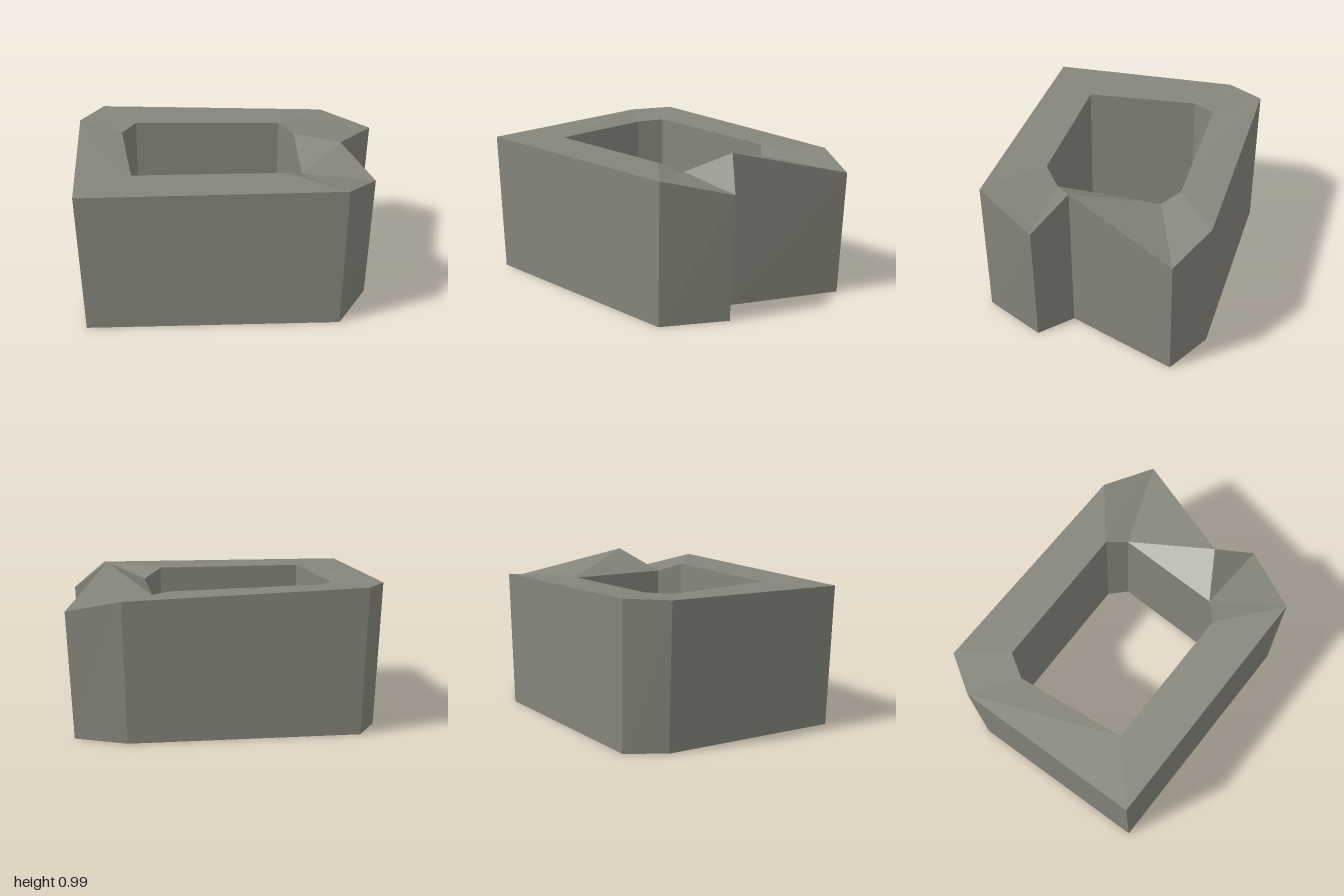
import * as THREE from 'three';

// Rim corners [x, y, z], clockwise from above, starting at the back right
const OUTER = [
  [-0.85, 0.93, -0.73], [0.67, 0.88, -0.73], [1.0, 0.8, -0.57], [0.7, 0.99, 0.15],
  [0.91, 0.8, 0.33], [0.69, 0.91, 0.73], [-0.97, 0.9, 0.73], [-1.0, 0.92, -0.49],
];
const INNER = [
  [-0.62, 0.91, -0.45], [0.35, 0.89, -0.46], [0.45, 0.85, -0.36], [0.44, 0.85, 0.31],
  [0.32, 0.905, 0.42], [-0.63, 0.905, 0.42], [-0.71, 0.9, -0.3],
];
// Order in which the rim advances along the outer (O) or inner (I) loop
const RIM_STEPS = 'IOOIOIOOIOIOIOI';

function meshFrom(name, triangles, material) {
  const geometry = new THREE.BufferGeometry();
  geometry.setAttribute('position', new THREE.Float32BufferAttribute(triangles.flat(2), 3));
  geometry.computeVertexNormals();
  const mesh = new THREE.Mesh(geometry, material);
  mesh.name = name;
  return mesh;
}

// Faces between a top loop and a bottom loop
function wall(top, bottom, inward) {
  const triangles = [];
  top.forEach((p, i) => {
    const j = (i + 1) % top.length;
    const faces = [[bottom[j], bottom[i], p], [bottom[j], p, top[j]]];
    faces.forEach((t) => triangles.push(inward ? t.reverse() : t));
  });
  return triangles;
}

// Band of triangles between the outer and inner loop
function ring(outer, inner, down) {
  const triangles = [];
  let o = 0;
  let i = 0;
  for (const step of RIM_STEPS) {
    const a = outer[o % outer.length];
    const b = inner[i % inner.length];
    const t = step === 'O'
      ? [outer[++o % outer.length], a, b]
      : [a, b, inner[++i % inner.length]];
    triangles.push(down ? t.reverse() : t);
  }
  return triangles;
}

export function createModel() {
  const group = new THREE.Group();
  group.name = 'stoneRing';
  const stone = new THREE.MeshStandardMaterial({ color: 0x86857b, flatShading: true });
  stone.name = 'grey stone';

  // The outside tapers slightly to the ground, the shaft is vertical
  const outerBase = OUTER.map(([x, , z]) => [x * 0.957, 0, z * 0.983]);
  const innerBase = INNER.map(([x, , z]) => [x, 0, z]);

  group.add(
    meshFrom('outerWall', wall(OUTER, outerBase, false), stone),
    meshFrom('innerWall', wall(INNER, innerBase, true), stone),
    meshFrom('topRim', ring(OUTER, INNER, false), stone),
    meshFrom('base', ring(outerBase, innerBase, true), stone),
  );
  return group;
}
